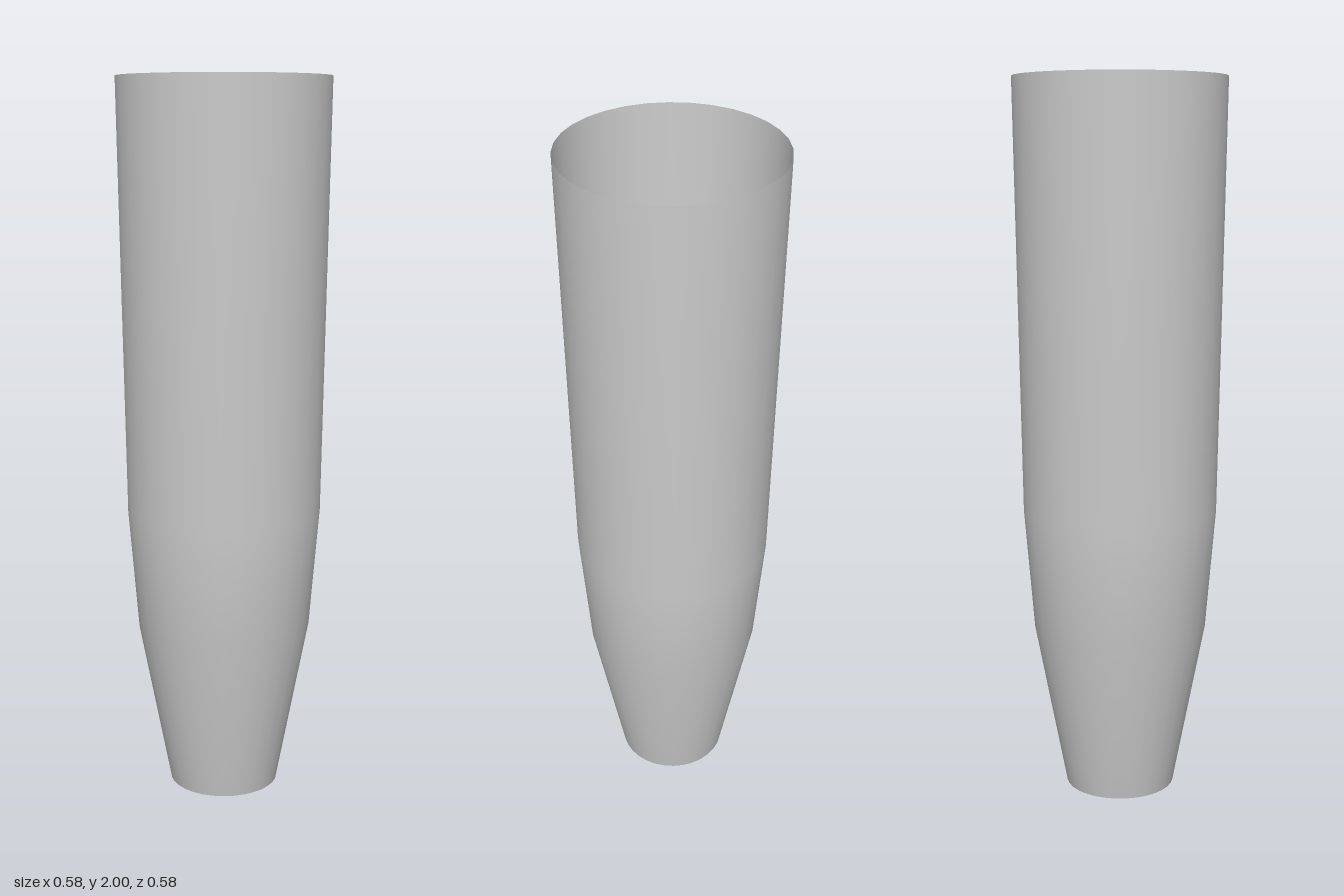
import * as THREE from 'three';

export function createModel() {
  const group = new THREE.Group();
  group.name = 'taperedSleeve';

  // Thin open tube: narrow tip at the bottom, wide mouth at the top
  const profile = [
    [0.154, 0],
    [0.244, 0.47],
    [0.272, 0.81],
    [0.292, 2],
  ].map(([r, y]) => new THREE.Vector2(r, y));

  const shell = new THREE.Mesh(
    new THREE.LatheGeometry(profile, 32),
    new THREE.MeshStandardMaterial({ color: 0xcccccc, side: THREE.DoubleSide })
  );
  shell.name = 'sleeveShell';
  group.add(shell);

  return group;
}
